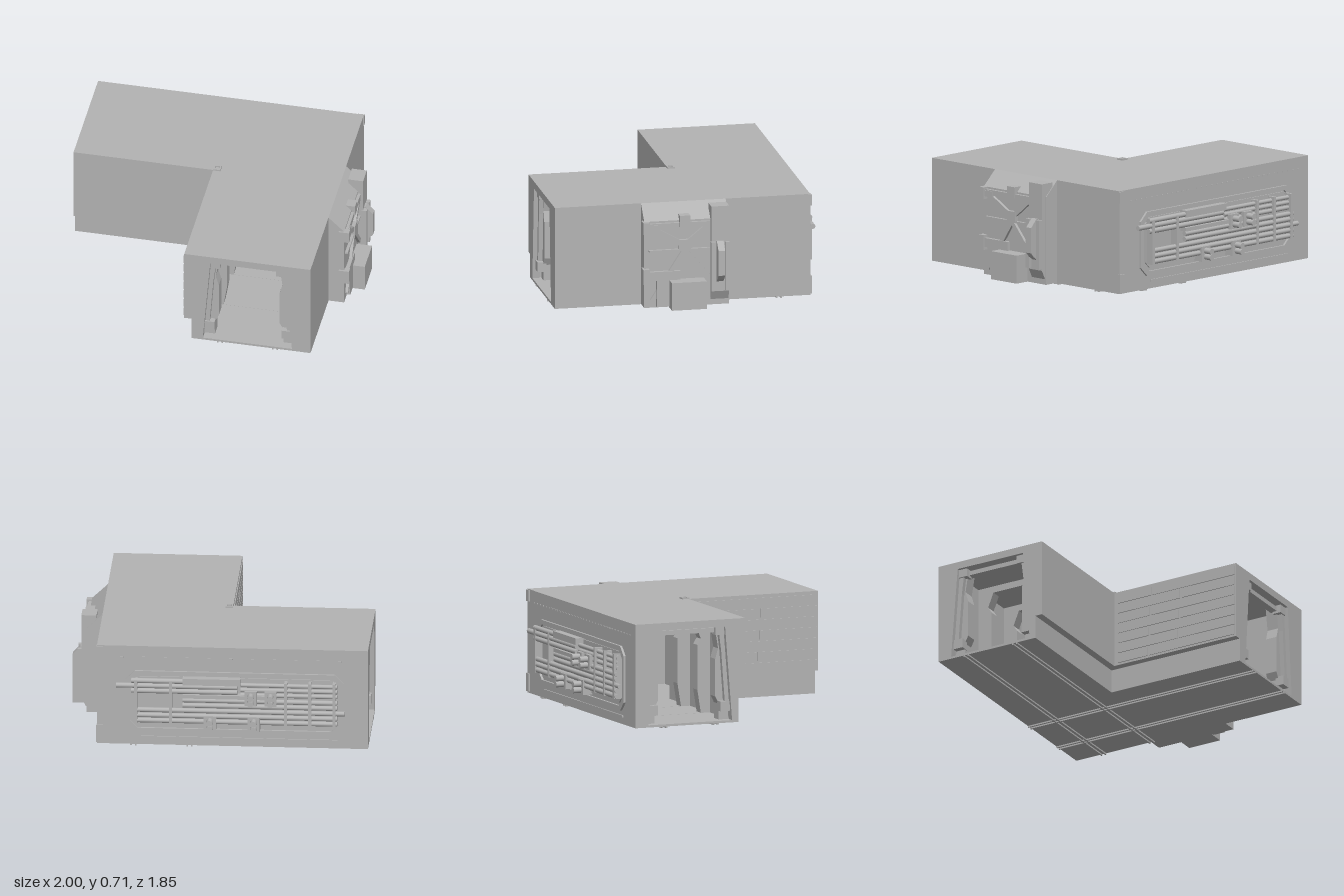
import * as THREE from 'three';

export function createModel() {
  const model = new THREE.Group();
  model.name = 'corridorCorner';
  const grey = new THREE.MeshStandardMaterial({ color: 0xb3b3b3, side: THREE.DoubleSide });
  grey.name = 'hull grey';

  const add = (name, geo, parent = model) => {
    const m = new THREE.Mesh(geo, grey);
    m.name = name;
    parent.add(m);
    return m;
  };
  // Box given by its limits on each axis
  const box = (name, x0, x1, y0, y1, z0, z1, parent) => {
    const m = add(name, new THREE.BoxGeometry(x1 - x0, y1 - y0, z1 - z0), parent);
    m.position.set((x0 + x1) / 2, (y0 + y1) / 2, (z0 + z1) / 2);
    return m;
  };
  const poly = (pts, Type = THREE.Shape) => new Type(pts.map(p => new THREE.Vector2(p[0], p[1])));
  const extrude = (shape, depth) => new THREE.ExtrudeGeometry(shape, { depth, bevelEnabled: false });
  // Plan outline in (x, z), raised from y0 to y1
  const plan = (name, pts, y0, y1) => {
    const g = extrude(poly(pts.map(([x, z]) => [x, -z])), y1 - y0);
    g.rotateX(-Math.PI / 2);
    g.translate(0, y0, 0);
    return add(name, g);
  };
  const pipeX = (name, x0, x1, y, z, r, parent) => {
    const g = new THREE.CylinderGeometry(r, r, x1 - x0, 14);
    g.rotateZ(Math.PI / 2);
    const m = add(name, g, parent);
    m.position.set((x0 + x1) / 2, y, z);
    return m;
  };
  // Rectangle with cut corners
  const octagon = (x0, x1, y0, y1, c) => [[x0 + c, y0], [x1 - c, y0], [x1, y0 + c], [x1, y1 - c],
    [x1 - c, y1], [x0 + c, y1], [x0, y1 - c], [x0, y0 + c]];
  const ring = (outer, inner, depth) => {
    const s = poly(outer);
    s.holes.push(poly(inner, THREE.Path));
    return extrude(s, depth);
  };

  // L-shaped shell: roof, floor and walls, with the inner side stepped in low down
  plan('roof', [[-1, -0.8], [0.79, -0.8], [0.79, 0.92], [-0.06, 0.92], [-0.06, -0.01], [-1, -0.01]], 0.665, 0.7);
  plan('floor', [[-1, -0.8], [0.79, -0.8], [0.79, 0.92], [-0.01, 0.92], [-0.01, -0.06], [-1, -0.06]], 0.01, 0.025);
  plan('outerWalls', [[-1, -0.8], [0.79, -0.8], [0.79, 0.92], [0.69, 0.92], [0.69, -0.72], [-1, -0.72]], 0.01, 0.7);
  plan('innerWalls', [[-1, -0.01], [-0.06, -0.01], [-0.06, 0.92], [0.05, 0.92], [0.05, -0.1], [-1, -0.1]], 0.17, 0.7);
  plan('innerFootings', [[-1, -0.06], [-0.01, -0.06], [-0.01, 0.92], [0.05, 0.92], [0.05, -0.1], [-1, -0.1]], 0.01, 0.17);

  // Open end: portal wall, sloped posts, corner blocks and ribs; side = where the step is
  const openEnd = (name, width, side) => {
    const end = new THREE.Group();
    end.name = name;
    const h = width / 2;
    const flip = pts => pts.map(([u, y]) => [u * side, y]);
    const outline = flip([[-h + 0.05, 0.01], [h, 0.01], [h, 0.7], [-h, 0.7], [-h, 0.17], [-h + 0.05, 0.17]]);
    const door = [[-0.3, 0.024], [0.3, 0.024], [0.25, 0.65], [-0.25, 0.65]];
    add('portal', ring(outline, door, 0.05), end).position.z = -0.05;
    for (const s of [-1, 1]) {
      const mir = pts => poly(pts.map(([u, y]) => [u * s, y]));
      add('post', extrude(mir([[0.3, 0.02], [0.23, 0.02], [0.23, 0.13], [0.205, 0.18], [0.205, 0.43],
        [0.225, 0.5], [0.2, 0.65], [0.25, 0.65]]), 0.08), end).position.z = -0.14;
      add('postStrip', extrude(mir([[0.29, 0.15], [0.26, 0.15], [0.235, 0.48], [0.22, 0.6], [0.255, 0.6]]), 0.03), end).position.z = -0.06;
      box('footBlock', s * 0.26 - 0.035, s * 0.26 + 0.035, 0.085, 0.15, -0.08, -0.02, end);
      box('headBlock', s * 0.225 - 0.035, s * 0.225 + 0.035, 0.595, 0.65, -0.08, -0.02, end);
    }
    box('lintel', -0.2, 0.2, 0.61, 0.64, -0.1, -0.05, end);
    // Ribs along the passage
    for (const z of [-0.45, -0.78]) {
      const rib = ring([[-0.315, 0.02], [0.315, 0.02], [0.315, 0.67], [-0.315, 0.67]],
        [[-0.24, 0.026], [0.24, 0.026], [0.215, 0.18], [0.215, 0.48], [0.24, 0.52], [0.2, 0.62], [-0.2, 0.62],
          [-0.24, 0.52], [-0.215, 0.48], [-0.215, 0.18]], 0.07);
      add('rib', rib, end).position.z = z;
    }
    model.add(end);
    return end;
  };
  openEnd('frontEnd', 0.85, 1).position.set(0.365, 0, 0.92);
  const sideEnd = openEnd('rightEnd', 0.79, -1);
  sideEnd.position.set(-1, 0, -0.405);
  sideEnd.rotation.y = -Math.PI / 2;

  // Pipe panels on the inside of the two outer walls, facing the open ends
  const innerPanel = (name) => {
    const p = new THREE.Group();
    p.name = name;
    add('panelFrame', ring([[-0.3, 0.025], [0.3, 0.025], [0.3, 0.665], [-0.3, 0.665]],
      octagon(-0.2, 0.2, 0.14, 0.6, 0.05), 0.06), p);
    for (let i = 0; i < 8; i++) pipeX('wallPipe', -0.21, 0.21, 0.17 + i * 0.047, 0.015, 0.022, p);
    pipeX('topPipe', -0.16, 0.16, 0.555, 0.02, 0.04, p);
    box('pipeClamp', -0.005, 0.01, 0.42, 0.52, 0.02, 0.05, p);
    box('pipeClamp', 0.08, 0.095, 0.22, 0.32, 0.02, 0.05, p);
    model.add(p);
    return p;
  };
  innerPanel('backInnerPanel').position.set(0.365, 0, -0.72);
  const sidePanel = innerPanel('leftInnerPanel');
  sidePanel.position.set(0.69, 0, -0.405);
  sidePanel.rotation.y = -Math.PI / 2;

  // Staggered planks on the inner wall
  for (let r = 0; r < 7; r++) {
    const cut = 0.25 + ((r * 0.23) % 0.45);
    const y = 0.185 + r * 0.072;
    box('plank', -0.066, -0.055, y, y + 0.06, 0.02, cut - 0.006, model);
    box('plank', -0.066, -0.055, y, y + 0.06, cut + 0.006, 0.91, model);
  }

  // Back rack: cut-corner frame, pipe runs, brackets and bosses
  const back = new THREE.Group();
  back.name = 'backRack';
  model.add(back);
  add('rackFrame', ring(octagon(-0.84, 0.6, 0.1, 0.53, 0.06), octagon(-0.81, 0.57, 0.13, 0.5, 0.05), 0.015), back).position.z = -0.815;
  add('rackPlate', extrude(poly(octagon(-0.79, 0.55, 0.15, 0.49, 0.04)), 0.008), back).position.z = -0.808;
  for (let i = 0; i < 3; i++) pipeX('upperPipe', -0.14, i === 1 ? 0.66 : 0.56, 0.475 - i * 0.035, -0.845, 0.017, back);
  for (let i = 0; i < 3; i++) pipeX('upperPipeTail', -0.8, -0.16, 0.455 - i * 0.035, -0.835, 0.014, back);
  for (let i = 0; i < 5; i++) pipeX('lowerPipe', i === 2 ? -0.85 : -0.8, i < 2 ? 0.22 : 0.52, 0.345 - i * 0.037, -0.845, 0.016, back);
  box('raisedStrip', -0.16, 0.22, 0.455, 0.5, -0.865, -0.8, back);
  box('middleStrip', -0.35, 0.22, 0.36, 0.385, -0.86, -0.8, back);
  for (const x of [-0.78, -0.62, -0.46, 0.3, 0.53]) box('rackClamp', x - 0.01, x + 0.01, 0.18, 0.48, -0.864, -0.8, back);
  for (const [x, y] of [[-0.36, 0.37], [-0.23, 0.37], [-0.25, 0.19], [0.04, 0.19]]) {
    box('bossBase', x - 0.04, x + 0.04, y - 0.05, y + 0.05, -0.87, -0.8, back);
    for (const s of [-1, 1]) {
      const g = new THREE.CylinderGeometry(0.02, 0.02, 0.06, 14);
      g.rotateX(Math.PI / 2);
      add('boss', g, back).position.set(x, y + s * 0.02, -0.895);
    }
  }
  for (let i = 0; i < 34; i++) box('rivet', -0.92 + i * 0.048, -0.9 + i * 0.048, 0.618, 0.626, -0.804, -0.798, back);
  box('footRail', -0.8, 0.5, 0.055, 0.07, -0.808, -0.798, back);
  for (const [y0, y1] of [[0.62, 0.695], [0.02, 0.14]]) box('cornerClip', 0.75, 0.794, y0, y1, -0.81, -0.78, back);

  // Left side module: wedge-topped base with a braced panel
  const side = new THREE.Group();
  side.name = 'sideModule';
  model.add(side);
  add('base', extrude(poly([[0.78, 0.012], [0.895, 0.012], [0.895, 0.6], [0.79, 0.7], [0.78, 0.7]]), 0.57), side).position.z = -0.23;
  // Bar between two (z, y) points on the panel face
  const brace = (z0, y0, z1, y1, w) => {
    const m = add('brace', new THREE.BoxGeometry(0.025, w, Math.hypot(z1 - z0, y1 - y0)), side);
    m.position.set(0.902, (y0 + y1) / 2, (z0 + z1) / 2);
    m.rotation.x = -Math.atan2(y1 - y0, z1 - z0);
  };
  brace(0.07, 0.43, 0.3, 0.56, 0.035);
  brace(0.07, 0.43, -0.09, 0.56, 0.035);
  brace(0.07, 0.4, 0.29, 0.06, 0.03);
  brace(0.07, 0.4, -0.1, 0.2, 0.03);
  brace(0.31, 0.57, -0.1, 0.57, 0.035);
  brace(0.31, 0.4, -0.1, 0.4, 0.012);
  box('hub', 0.89, 0.92, 0.4, 0.47, 0.03, 0.11, side);
  box('topLug', 0.85, 0.92, 0.56, 0.635, 0.035, 0.105, side);
  for (const [y0, y1] of [[0.18, 0.28], [0.52, 0.6]]) {
    box('edgeClip', 0.86, 0.93, y0, y1, 0.31, 0.352, side);
    box('edgeClipTab', 0.89, 0.92, y0 + 0.02, y1 - 0.02, 0.24, 0.32, side);
  }
  box('equipmentBox', 0.89, 1.0, 0.012, 0.2, -0.06, 0.175, side);
  box('equipmentPlate', 0.89, 0.92, 0.02, 0.26, 0.1, 0.26, side);
  // Upright column with stepped ribs
  add('column', extrude(poly([[0.84, 0.05], [0.9, 0.05], [0.93, 0.11], [0.93, 0.69], [0.83, 0.69]]), 0.12), side).position.z = -0.225;
  add('columnBulge', extrude(poly([[0.92, 0.17], [0.965, 0.2], [0.99, 0.23], [0.99, 0.4], [0.94, 0.455], [0.92, 0.455]]), 0.045), side).position.z = -0.185;
  for (const z of [-0.21, -0.115]) box('columnRib', 0.92, 0.955, 0.12, 0.45, z - 0.015, z + 0.015, side);

  // Roof hatch rim
  const rim = ring([[-0.025, -0.025], [0.025, -0.025], [0.025, 0.025], [-0.025, 0.025]], octagon(-0.016, 0.016, -0.016, 0.016, 0.005), 0.01);
  rim.rotateX(-Math.PI / 2);
  add('roofHatch', rim).position.set(-0.035, 0.7, -0.03);

  // Thin rails under the floor
  for (const d of [-0.2, -0.17, 0.17, 0.2]) {
    box('underRail', -1, 0.79, 0, 0.012, -0.405 + d - 0.005, -0.405 + d + 0.005, model);
    box('underRail', 0.365 + d - 0.005, 0.365 + d + 0.005, 0, 0.012, -0.8, 0.92, model);
  }
  return model;
}
